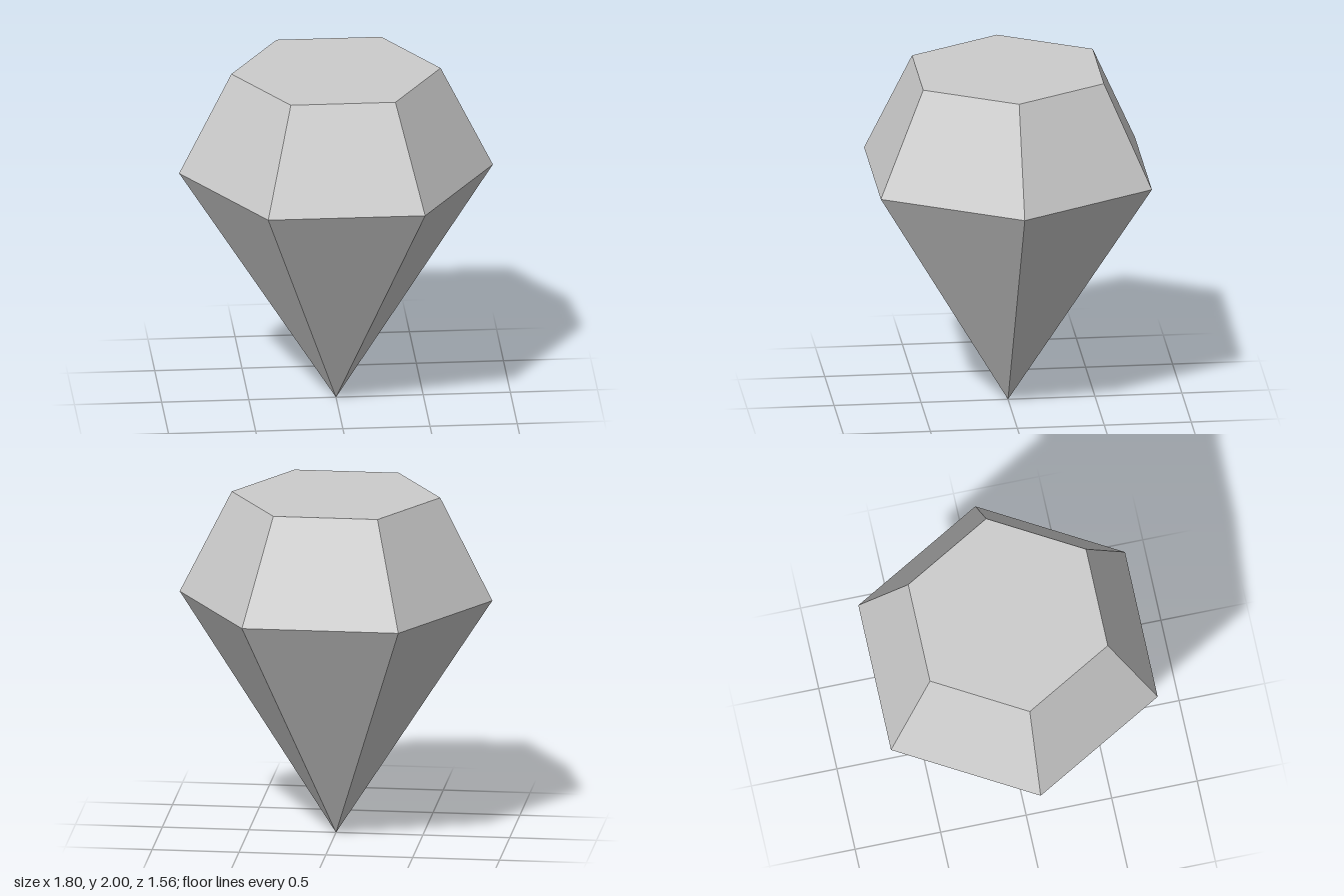
import * as THREE from 'three';

const SIDES = 6;
const GIRDLE_RADIUS = 0.9;
const TABLE_RADIUS = 0.6;
const GIRDLE_Y = 1.4;
const TOP_Y = 2;

export function createModel() {
  const gem = new THREE.Group();
  gem.name = 'gem';

  const stone = new THREE.MeshStandardMaterial({ color: 0xcccccc, flatShading: true });
  stone.name = 'pale grey stone';

  // Open six-sided ring of facets with corners on the x axis
  const addFacets = (name, topRadius, bottomRadius, y0, y1) => {
    const geometry = new THREE.CylinderGeometry(
      topRadius, bottomRadius, y1 - y0, SIDES, 1, true, Math.PI / SIDES);
    const mesh = new THREE.Mesh(geometry, stone);
    mesh.name = name;
    mesh.position.y = (y0 + y1) / 2;
    gem.add(mesh);
  };

  // Pointed lower part and tapered upper part
  addFacets('pavilion', GIRDLE_RADIUS, 0, 0, GIRDLE_Y);
  addFacets('crown', TABLE_RADIUS, GIRDLE_RADIUS, GIRDLE_Y, TOP_Y);

  // Flat hexagonal top
  const table = new THREE.Mesh(new THREE.CircleGeometry(TABLE_RADIUS, SIDES), stone);
  table.name = 'table';
  table.rotation.x = -Math.PI / 2;
  table.position.y = TOP_Y;
  gem.add(table);

  return gem;
}
